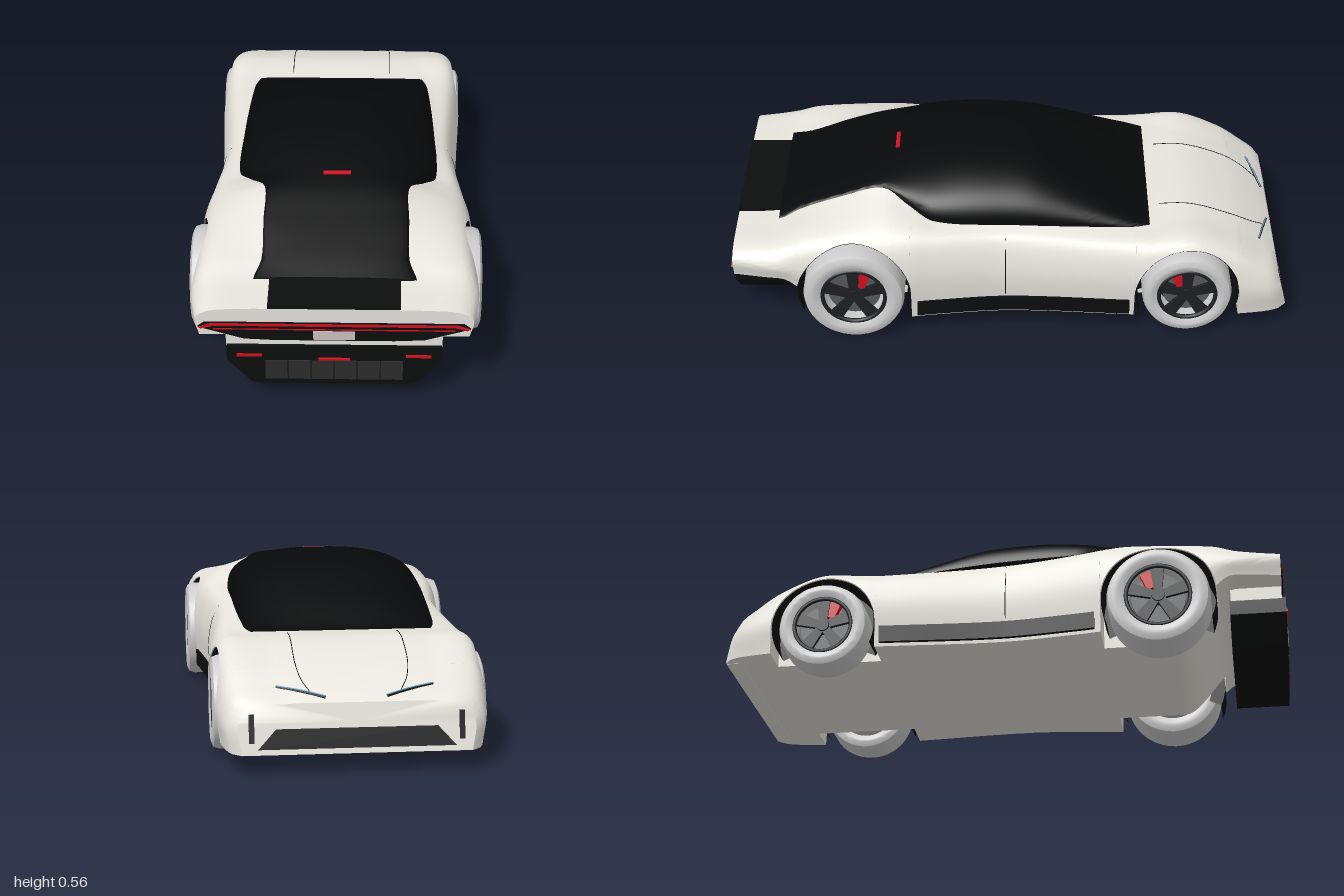
import * as THREE from 'three';
import { toCreasedNormals } from 'three/addons/utils/BufferGeometryUtils.js';

const { clamp, smoothstep } = THREE.MathUtils;
const mat = (color) => new THREE.MeshStandardMaterial({ color, side: THREE.DoubleSide });
const M = {
  paint: mat(0xe6e4dc), tyre: mat(0xcccccc), black: mat(0x0c0d0e), glass: mat(0x070809),
  rim: mat(0x1c1f23), disc: mat(0x55585c), red: mat(0xd01020), vent: mat(0x2c2c2c),
  plate: mat(0xc8c0c0), blue: mat(0x6a9ab8),
};

// Body outline: z, belt half-width, belt height, shoulder height, widest half-width
const BODY = [
  [-0.96, 0.2, 0.226, 0.21, 0.39], [-0.94, 0.21, 0.247, 0.23, 0.42], [-0.89, 0.22, 0.28, 0.258, 0.441],
  [-0.8, 0.24, 0.328, 0.312, 0.453], [-0.65, 0.25, 0.375, 0.365, 0.461], [-0.5, 0.315, 0.372, 0.356, 0.462],
  [-0.42, 0.335, 0.376, 0.354, 0.457], [0, 0.352, 0.396, 0.368, 0.436], [0.27, 0.35, 0.41, 0.385, 0.462],
  [0.36, 0.305, 0.447, 0.389, 0.475], [0.45, 0.252, 0.485, 0.39, 0.48], [0.6, 0.25, 0.447, 0.388, 0.482],
  [0.75, 0.25, 0.392, 0.376, 0.485], [0.83, 0.275, 0.364, 0.354, 0.484], [0.98, 0.27, 0.354, 0.342, 0.46],
];
// Canopy centre line: z, height
const ROOF = [[-0.5, 0.374], [-0.3, 0.47], [-0.1, 0.546], [0.05, 0.56], [0.2, 0.555],
  [0.45, 0.51], [0.6, 0.462], [0.75, 0.408], [0.83, 0.376]];
const WHEELS = [
  { name: 'Front', z: -0.635, r: 0.16, R: 0.188, rim: 0.108, xi: 0.325, xo: 0.463, cal: 1 },
  { name: 'Rear', z: 0.555, r: 0.18, R: 0.203, rim: 0.118, xi: 0.332, xo: 0.503, cal: -1 },
];

// Smooth interpolation of a table keyed by z
function at(table, z, c) {
  let i = 0;
  while (i < table.length - 2 && z > table[i + 1][0]) i++;
  const slope = (k) => {
    const a = table[Math.max(k - 1, 0)], b = table[Math.min(k + 1, table.length - 1)];
    return (b[c] - a[c]) / (b[0] - a[0]);
  };
  const a = table[i], b = table[i + 1], h = b[0] - a[0], t = (z - a[0]) / h, u = 1 - t;
  return u * u * ((1 + 2 * t) * a[c] + t * h * slope(i)) + t * t * ((3 - 2 * t) * b[c] - u * h * slope(i + 1));
}
// Deck dips under the canopy; sill rises behind the rear wheel
const deckY = (z) => at(BODY, z, 2) - 0.06 * smoothstep(z, -0.5, 0) * (1 - smoothstep(z, 0.45, 0.9));
const sillY = (z) => 0.065 + 0.183 * smoothstep(z, 0.6, 0.82);

// Side curve of one station, from belt over shoulder and flank to sill
function flank(z) {
  const wide = at(BODY, z, 4);
  return new THREE.CatmullRomCurve3([
    new THREE.Vector3(at(BODY, z, 1), at(BODY, z, 2), z),
    new THREE.Vector3(wide * 0.915, at(BODY, z, 3), z),
    new THREE.Vector3(wide, Math.min(0.25 + 0.065 * Math.max(z, 0), 0.25 + 0.3 * (z + 0.65)), z),
    new THREE.Vector3(wide - 0.012, sillY(z), z),
  ]);
}
function cut(curve, y) {
  let lo = 0, hi = 1;
  for (let k = 0; k < 24; k++) {
    const m = (lo + hi) / 2;
    if (curve.getPoint(m).y > y) lo = m; else hi = m;
  }
  return lo;
}
const sideX = (z, y) => { const c = flank(z); return c.getPoint(cut(c, y)).x; };

// Surface through rows of points, with optional end caps
function loft(rows, caps, crease = 0.6) {
  const n = rows[0].length, pos = rows.flat().flatMap((p) => [p.x, p.y, p.z]), idx = [];
  for (let i = 0; i < rows.length - 1; i++) for (let j = 0; j < n - 1; j++) {
    const a = i * n + j, d = a + n;
    idx.push(a, d, d + 1, a, d + 1, a + 1);
  }
  if (caps) [0, rows.length - 1].forEach((r, e) => {
    const c = new THREE.Vector3();
    rows[r].forEach((p) => c.addScaledVector(p, 1 / n));
    const k = pos.length / 3;
    pos.push(c.x, c.y, c.z);
    for (let j = r * n; j < r * n + n - 1; j++) idx.push(k, e ? j + 1 : j, e ? j : j + 1);
  });
  const g = new THREE.BufferGeometry();
  g.setAttribute('position', new THREE.Float32BufferAttribute(pos, 3));
  g.setIndex(idx);
  return toCreasedNormals(g, crease);
}
const mirrorRow = (half) => [...half, ...half.slice(0, -1).reverse().map((p) => new THREE.Vector3(-p.x, p.y, p.z))];

// The nose face leans back
const LEAN = 0.25;
const leanZ = (z, y) => z + clamp((-0.87 - z) / 0.09, 0, 1) * LEAN * (y - 0.23);

function bodyRow(z) {
  const sill = sillY(z), curve = flank(z), w = WHEELS.find((v) => Math.abs(z - v.z) < v.R);
  const low = w ? w.r + Math.sqrt(w.R ** 2 - (z - w.z) ** 2) : sill;
  const tMax = w ? cut(curve, low) : 1;
  const half = [new THREE.Vector3(0, deckY(z), z)];
  for (let k = 0; k <= 22; k++) half.push(curve.getPoint((k / 22) * tMax));
  half.push(new THREE.Vector3(0.322, low, z), new THREE.Vector3(0.322, sill, z), new THREE.Vector3(0, sill, z));
  half.forEach((p) => { p.z = leanZ(z, p.y); });
  return mirrorRow(half);
}

export function createModel() {
  const car = new THREE.Group();
  car.name = 'sportsCar';
  const add = (name, geo, m, parent = car) => {
    const mesh = new THREE.Mesh(geo, m);
    mesh.name = name;
    parent.add(mesh);
    return mesh;
  };
  const box = (name, m, w, h, d, x, y, z, parent) => {
    const b = add(name, new THREE.BoxGeometry(w, h, d), m, parent);
    b.position.set(x, y, z);
    return b;
  };
  const panel = (name, m, pts, depth, z, parent) => {
    const s = new THREE.Shape(pts.map((p) => new THREE.Vector2(...p)));
    const p = add(name, new THREE.ExtrudeGeometry(s, { depth, bevelEnabled: false }), m, parent);
    p.position.z = z;
    return p;
  };
  const sym = (pts) => [...pts, ...pts.map(([x, y]) => [-x, y]).reverse()];
  const line = (name, m, pts, r) => add(name, new THREE.TubeGeometry(new THREE.CatmullRomCurve3(pts), 24, r, 5), m);

  // Painted shell, with extra stations at the wheel arches
  const zs = [];
  for (let k = 0; k <= 97; k++) zs.push(-0.96 + k * 0.02);
  for (const w of WHEELS) {
    for (let k = 0; k <= 32; k++) zs.push(w.z - w.R * 0.9999 * Math.cos((k / 32) * Math.PI));
    zs.push(w.z - w.R - 1e-4, w.z + w.R + 1e-4);
  }
  zs.sort((a, b) => a - b);
  add('bodyShell', loft(zs.map(bodyRow), true), M.paint);
  box('tailUndertray', M.paint, 0.72, 0.052, 0.178, 0, 0.228, 0.89);

  // Dark canopy from windscreen to rear window
  const canopy = [];
  for (let i = 0; i <= 70; i++) {
    const z = -0.5 + (i / 70) * 1.33, bx = at(BODY, z, 1), by = at(BODY, z, 2);
    const h = Math.max(at(ROOF, z, 1) - by, 0.004), half = [];
    for (let k = 0; k <= 20; k++) {
      const a = (k / 20) * Math.PI / 2;
      half.push(new THREE.Vector3(bx * Math.sin(a) ** (2 / 2.4), by + h * Math.abs(Math.cos(a)) ** (2 / 2.4), z));
    }
    canopy.push(mirrorRow(half));
  }
  add('canopy', loft(canopy, false, 1), M.glass);
  box('roofBrakeLight', M.red, 0.095, 0.006, 0.014, 0, at(ROOF, 0.41, 1) + 0.002, 0.41).rotation.x = 0.25;
  box('rearDeckPanel', M.black, 0.44, 0.012, 0.165, 0, 0.362, 0.9);

  for (const s of [1, -1]) {
    const side = s > 0 ? 'left' : 'right';
    // Sill skirt
    const skirt = [];
    for (let k = 0; k <= 24; k++) {
      const z = -0.43 + k * 0.0317, x = sideX(z, 0.1);
      skirt.push([[x - 0.03, 0.14], [x + 0.012, 0.138], [x + 0.01, 0.078], [x - 0.03, 0.074]]
        .map(([px, py]) => new THREE.Vector3(s * px, py, z)));
    }
    add(side + 'Sill', loft(skirt, true), M.black);
    // Seams and slim headlights
    const onHood = ([x, z], lift) => {
      const y = deckY(z);
      return new THREE.Vector3(s * x, y + lift, leanZ(z, y));
    };
    line(side + 'DoorSeam', M.black, [0.37, 0.32, 0.26, 0.2, 0.15].map((y) =>
      new THREE.Vector3(s * sideX(0.015, y), y, 0.015)), 0.0015);
    line(side + 'HoodSeam', M.black, [[0.15, -0.93], [0.175, -0.88], [0.187, -0.82], [0.19, -0.76], [0.19, -0.7],
      [0.19, -0.65], [0.19, -0.6], [0.19, -0.54]].map((p) => onHood(p, 0.0005)), 0.0015);
    const lamp = (lift) => [[0.1, -0.948], [0.18, -0.928], [0.26, -0.905]].map((p) =>
      onHood(p, lift - (p[0] > 0.2 ? 0.005 : 0)));
    line(side + 'HeadlightFrame', M.black, lamp(0.001), 0.005);
    line(side + 'HeadlightGlow', M.blue, lamp(0.005), 0.0028);

    for (const w of WHEELS) {
      // Arch liner with a dark back wall
      const liner = [];
      for (let k = 0; k <= 40; k++) {
        const a = -0.42 + (k / 40) * (Math.PI + 0.84);
        const ring = (x, r) => new THREE.Vector3(x, w.r + r * Math.sin(a), w.z + r * Math.cos(a));
        const inner = ring(s * 0.326, w.r - 0.03), top = ring(s * 0.326, w.R - 0.003), lip = top.clone();
        lip.x = s * (sideX(lip.z, lip.y) - 0.004);
        liner.push([inner, top, lip]);
      }
      add(side + w.name + 'ArchLiner', loft(liner, false), M.black);

      // Wheel, built along y and turned so its outer face looks sideways
      const wheel = new THREE.Group(), H = (w.xo - w.xi) / 2, r = w.r, q = w.rim;
      wheel.name = `${side}${w.name}Wheel`;
      wheel.position.set(s * (w.xi + w.xo) / 2, r, w.z);
      wheel.rotation.z = -s * Math.PI / 2;
      car.add(wheel);
      const outer = [[r, H - 0.028], [r - 0.007, H - 0.008], [r - 0.025, H], [q + 0.02, H], [q, H - 0.01]];
      const prof = [...outer.map(([x, y]) => [x, -y]).reverse(), ...outer, [q, 0.01 - H]];
      add('tyre', toCreasedNormals(new THREE.LatheGeometry(prof.map((p) => new THREE.Vector2(...p)), 48), 0.8), M.tyre, wheel);
      add('rimBarrel', new THREE.CylinderGeometry(q, q, 0.02, 40), M.rim, wheel).position.y = -H + 0.03;
      add('brakeDisc', new THREE.CylinderGeometry(q * 0.8, q * 0.8, 0.012, 40), M.disc, wheel).position.y = H - 0.05;
      const ring = add('rimRing', new THREE.TorusGeometry(q - 0.006, 0.008, 8, 48), M.rim, wheel);
      ring.rotation.x = Math.PI / 2;
      ring.position.y = H - 0.014;
      add('hub', new THREE.CylinderGeometry(0.022, 0.028, 0.03, 20), M.rim, wheel).position.y = H - 0.026;
      for (let k = 0; k < 5; k++) {
        const spoke = new THREE.Group();
        spoke.name = 'spokeArm';
        spoke.rotation.y = (k / 5) * Math.PI * 2 + (s > 0 ? 0 : Math.PI);
        wheel.add(spoke);
        const blade = panel('spoke', M.rim, sym([[0.014, 0.01], [0.024, q - 0.004]]), 0.014, 0, spoke);
        blade.rotation.set(-Math.PI / 2, 0, Math.PI / 2);
        blade.position.y = H - 0.03;
      }
      const cal = box('brakeCaliper', M.red, 0.065, 0.026, 0.038, -s * 0.062, H - 0.034, w.cal * 0.032, wheel);
      cal.rotation.y = s * w.cal * 0.4;
    }
  }

  // Nose grille and side slots on the leaning face
  const nose = new THREE.Group();
  nose.name = 'noseFace';
  nose.position.set(0, 0.07, -0.998);
  nose.rotation.x = Math.atan(LEAN);
  car.add(nose);
  panel('grille', M.black, sym([[0.325, 0.012], [0.265, 0.078]]), 0.014, -0.004, nose);
  for (const s of [1, -1]) box('noseSlot', M.black, 0.018, 0.095, 0.014, s * 0.345, 0.08, 0.003, nose);
  box('noseSplitter', M.paint, 0.74, 0.012, 0.05, 0, 0.07, -0.972);

  // Tail light band
  panel('tailBand', M.black, sym([[0.43, 0.3], [0.452, 0.282], [0.3, 0.235], [0.2, 0.23]]), 0.012, 0.974);
  for (const s of [1, -1]) {
    panel('tailLightBar', M.red, [[0, 0.298], [0.41, 0.298], [0.452, 0.282], [0.44, 0.276], [0.4, 0.288], [0, 0.288]]
      .map(([x, y]) => [s * x, y]), 0.006, 0.982);
  }
  box('tailLightLine', M.red, 0.8, 0.004, 0.006, 0, 0.275, 0.985);
  box('registrationPanel', M.plate, 0.138, 0.034, 0.006, 0, 0.252, 0.986);

  // Diffuser
  panel('diffuser', M.black, sym([[0.358, 0.208], [0.358, 0.15], [0.275, 0.06], [0.24, 0.053]]), 0.195, 0.797);
  for (let k = 0; k < 6; k++) box('diffuserVent', M.vent, 0.074, 0.076, 0.008, (k - 2.5) * 0.077, 0.113, 0.992);
  for (const s of [1, -1]) box('lowerLamp', M.red, 0.085, 0.009, 0.008, s * 0.282, 0.173, 0.993);
  box('centreLamp', M.red, 0.105, 0.006, 0.01, 0, 0.16, 0.995);
  return car;
}
